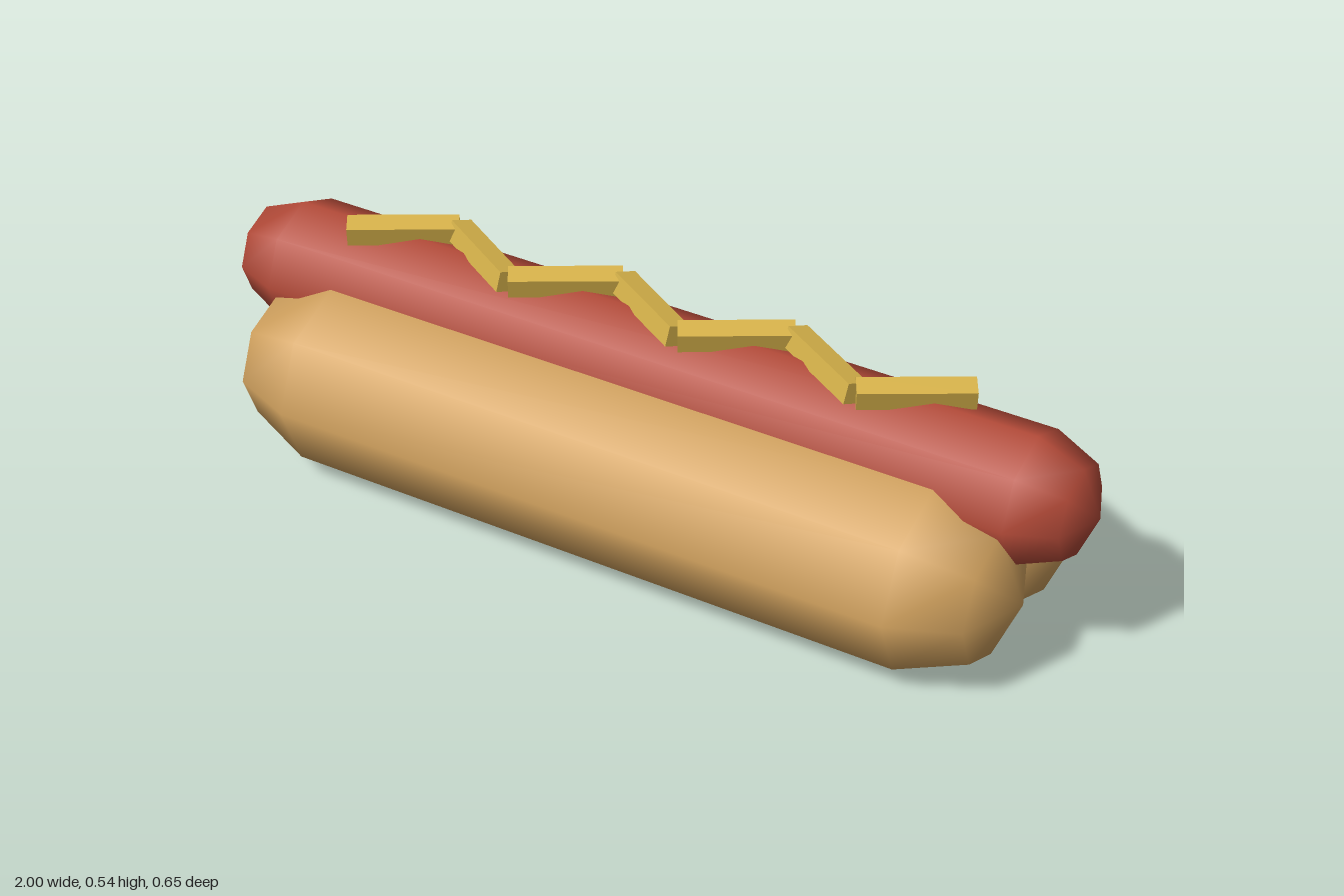
import * as THREE from 'three';

export function createModel() {
  const model = new THREE.Group();
  model.name = 'hotDog';

  const material = (name, color, flatShading = false) => {
    const m = new THREE.MeshStandardMaterial({ color, flatShading });
    m.name = name;
    return m;
  };
  const bread = material('bread', 0xd4a460);
  const meat = material('meat', 0xb54b39);
  const mustard = material('mustard', 0xd6b24a, true);

  // Eight-sided capsule lying along x
  const capsule = (name, radius, length, mat, y, z) => {
    const geometry = new THREE.CapsuleGeometry(radius, length, 2, 8);
    geometry.rotateZ(Math.PI / 2);
    const mesh = new THREE.Mesh(geometry, mat);
    mesh.name = name;
    mesh.position.set(0, y, z);
    model.add(mesh);
  };

  // Two bun halves with the sausage resting between them
  capsule('bunFront', 0.202, 1.41, bread, 0.202, 0.121);
  capsule('bunBack', 0.202, 1.41, bread, 0.202, -0.121);
  capsule('sausage', 0.141, 1.718, meat, 0.365, 0);

  // Mustard zigzag made of square bars
  const zigzag = new THREE.Group();
  zigzag.name = 'mustardZigzag';
  const up = new THREE.Vector3(0, 1, 0);
  const corner = (i) => new THREE.Vector3(-0.7 + i * 0.2, 0.516, i % 2 ? -0.061 : 0.061);
  for (let i = 0; i < 7; i++) {
    const a = corner(i);
    const b = corner(i + 1);
    const bar = new THREE.Mesh(new THREE.CylinderGeometry(0.032, 0.032, a.distanceTo(b), 4), mustard);
    bar.name = `mustardBar${i + 1}`;
    bar.position.lerpVectors(a, b, 0.5);
    bar.quaternion.setFromUnitVectors(up, b.sub(a).normalize());
    zigzag.add(bar);
  }
  model.add(zigzag);

  return model;
}
